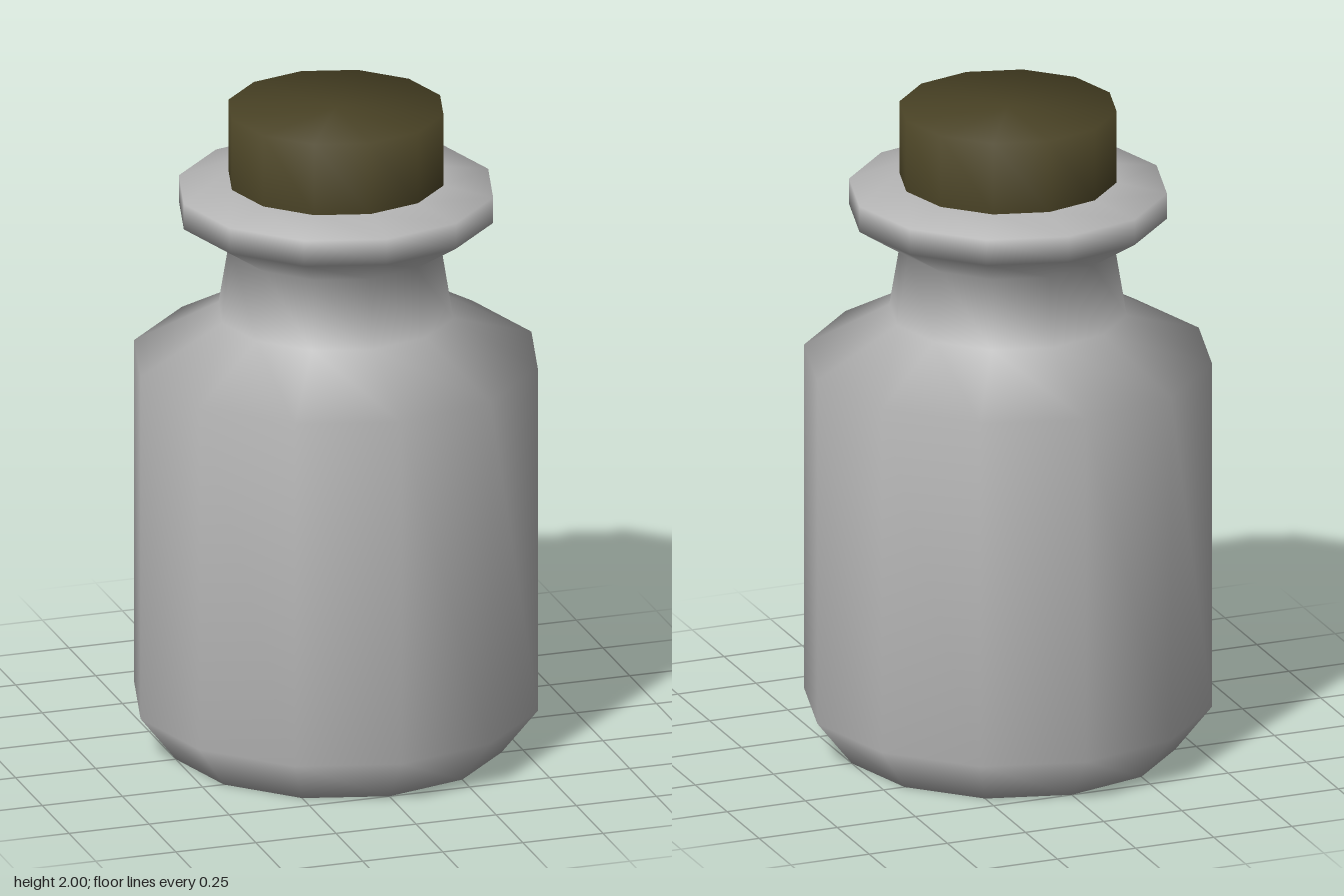
import * as THREE from 'three';

const SIDES = 12;

// Smooth-shaded turned part from [radius, height] pairs, listed bottom to top
function turned(name, profile, material) {
  const points = profile.map(([r, y]) => new THREE.Vector2(r, y));
  const mesh = new THREE.Mesh(new THREE.LatheGeometry(points, SIDES), material);
  mesh.name = name;
  return mesh;
}

export function createModel() {
  const glass = new THREE.MeshStandardMaterial({ color: 0xb4b4b4 });
  glass.name = 'grey glass';
  const corkBrown = new THREE.MeshStandardMaterial({ color: 0x494225 });
  corkBrown.name = 'dark cork';

  const model = new THREE.Group();
  model.name = 'corkedBottle';

  // Base, body, shoulder, neck and flared lip
  model.add(turned('bottle', [
    [0, 0], [0.5, 0], [0.61, 0.14], [0.61, 1.22], [0.355, 1.36],
    [0.32, 1.57], [0.475, 1.67], [0.475, 1.75], [0.325, 1.777],
  ], glass));

  // Stopper standing on the lip
  model.add(turned('cork', [[0.325, 1.777], [0.325, 2], [0, 2]], corkBrown));

  return model;
}
